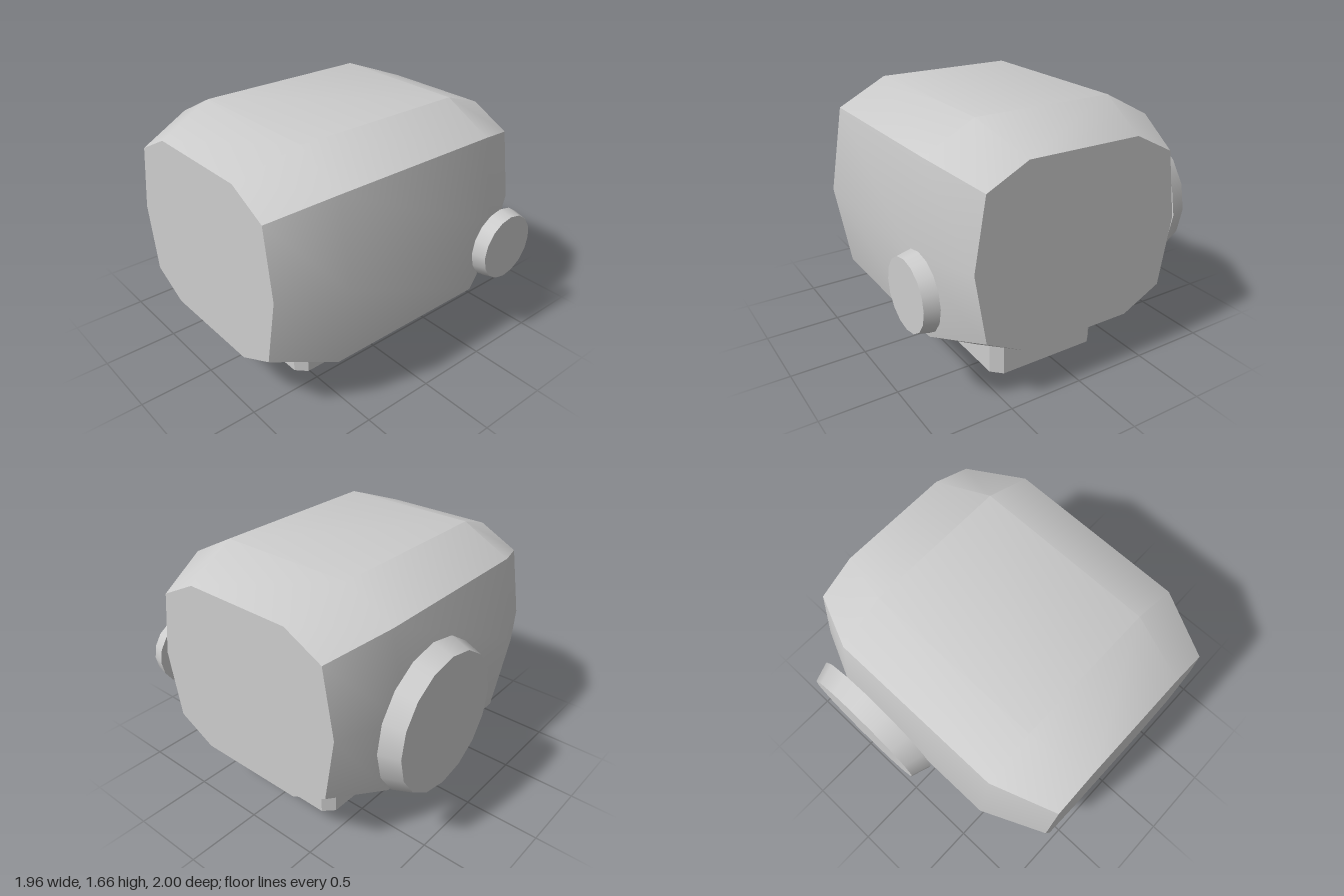
import * as THREE from 'three';
import { toCreasedNormals } from 'three/addons/utils/BufferGeometryUtils.js';

const CREASE = 0.6;

// Cross-sections as [z, y], counterclockwise seen from +x
const MIDDLE = [[0.49, 0.21], [-0.45, 0.21], [-0.775, 0.38], [-0.87, 0.94], [-0.775, 1.495],
  [-0.45, 1.665], [0.49, 1.665], [0.815, 1.495], [0.91, 0.94], [0.815, 0.38]];
const END = [[0.395, 0.355], [-0.355, 0.355], [-0.62, 0.49], [-0.695, 0.94], [-0.62, 1.385],
  [-0.355, 1.52], [0.395, 1.52], [0.66, 1.385], [0.735, 0.94], [0.66, 0.49]];

// Loft through the rings with flat caps
function loft(rings) {
  const n = rings[0].length;
  const positions = rings.flat(2);
  const index = [];
  for (let r = 0; r < rings.length - 1; r++) {
    for (let i = 0; i < n; i++) {
      const a = r * n + i, b = r * n + (i + 1) % n;
      index.push(a, b, b + n, a, b + n, a + n);
    }
  }
  const last = (rings.length - 1) * n;
  for (let i = 1; i < n - 1; i++) {
    index.push(0, i + 1, i);
    index.push(last, last + i, last + i + 1);
  }
  const geometry = new THREE.BufferGeometry();
  geometry.setAttribute('position', new THREE.Float32BufferAttribute(positions, 3));
  geometry.setIndex(index);
  return toCreasedNormals(geometry, CREASE);
}

export function createModel() {
  const group = new THREE.Group();
  const grey = new THREE.MeshStandardMaterial({ color: 0xcccccc });
  grey.name = 'light grey';

  function add(name, geometry, x = 0, y = 0, z = 0) {
    const mesh = new THREE.Mesh(geometry, grey);
    mesh.name = name;
    mesh.position.set(x, y, z);
    group.add(mesh);
    return mesh;
  }

  // Body: full section in the middle, tapering to both ends
  const ring = (x, section) => section.map(([z, y]) => [x, y, z]);
  add('body', loft([ring(-0.98, END), ring(-0.59, MIDDLE), ring(0.59, MIDDLE), ring(0.98, END)]));

  // Tapered discs on the front and back, narrow side outward
  const disc = (inner, outer, depth, direction) =>
    new THREE.CylinderGeometry(outer, inner, depth, 16).rotateX(direction * Math.PI / 2);
  add('frontKnob', disc(0.24, 0.22, 0.09, 1), 0.687, 0.765, 0.955);
  add('backDisc', disc(0.487, 0.443, 0.13, -1), 0.343, 0.85, -0.935);

  // Base plate with chamfered corners
  const w = 0.632, d = 0.4, c = 0.066;
  const outline = new THREE.Shape([[w, c - d], [w, d - c], [w - c, d], [c - w, d],
    [-w, d - c], [-w, c - d], [c - w, -d], [w - c, -d]].map(([x, y]) => new THREE.Vector2(x, y)));
  const plate = new THREE.ExtrudeGeometry(outline, { depth: 0.214, bevelEnabled: false });
  add('base', plate.rotateX(-Math.PI / 2), 0.057, 0, 0.02);

  return group;
}
